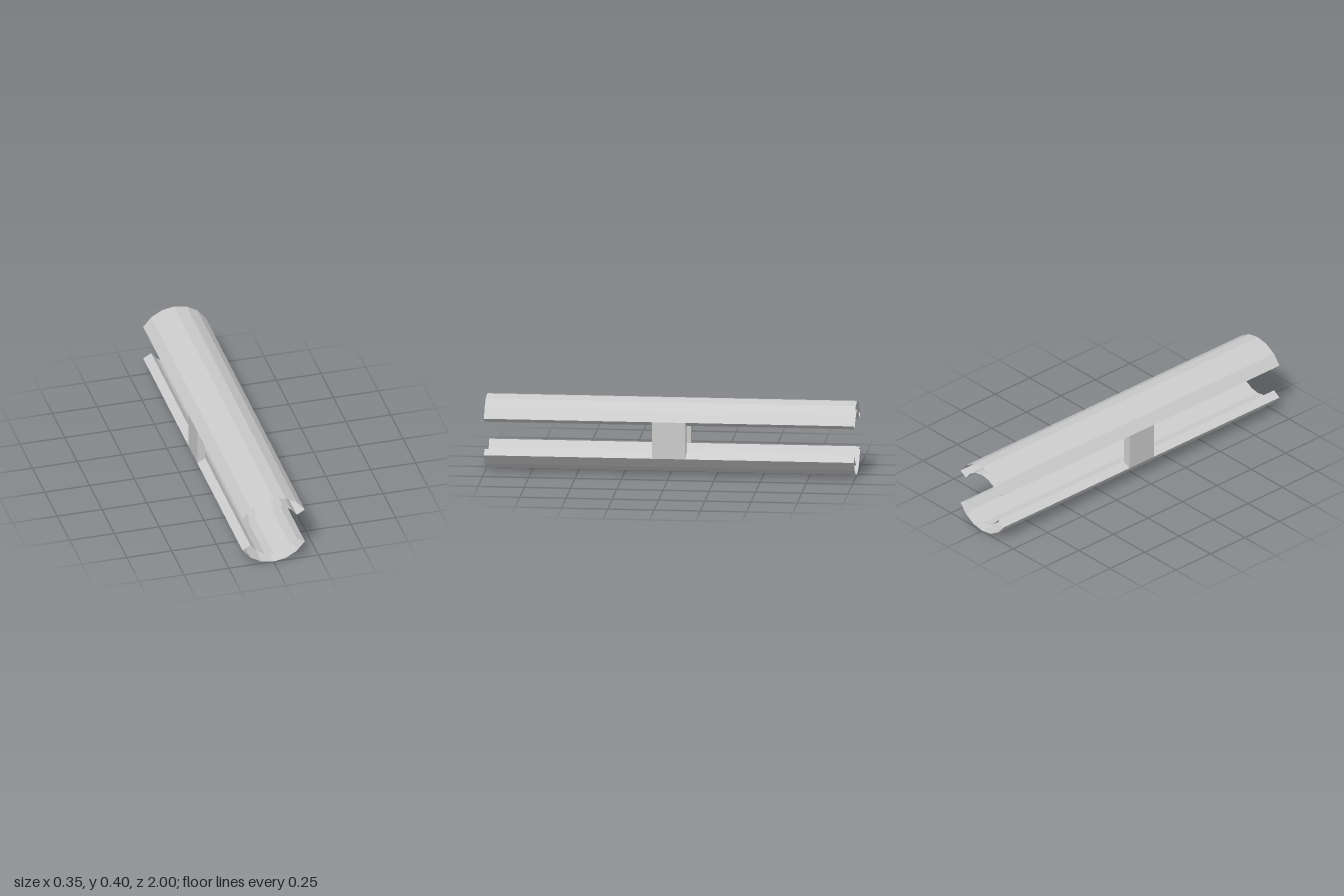
import * as THREE from 'three';

const OUTER = 0.201, INNER = 0.15, HALF_LENGTH = 1, HALF_BRIDGE = 0.09;
const EDGE = Math.PI / 6; // angle where the side slots begin, above and below horizontal
const SEGMENTS = 6;

const polar = (r, a) => new THREE.Vector2(r * Math.cos(a), r * Math.sin(a));

// Closed counter-clockwise outline of a ring sector
function sector(start, end, segments) {
  const points = [];
  const at = (i) => start + (end - start) * i / segments;
  for (let i = 0; i <= segments; i++) points.push(polar(OUTER, at(i)));
  for (let i = segments; i >= 0; i--) points.push(polar(INNER, at(i)));
  return points;
}

// Sweep the outline along z as walls only, leaving the ends open
function openSweep(points, halfLength) {
  const positions = [];
  points.forEach((p, i) => {
    const q = points[(i + 1) % points.length];
    const a = [p.x, p.y, halfLength], b = [p.x, p.y, -halfLength];
    const c = [q.x, q.y, -halfLength], d = [q.x, q.y, halfLength];
    positions.push(...a, ...b, ...c, ...a, ...c, ...d);
  });
  const geometry = new THREE.BufferGeometry();
  geometry.setAttribute('position', new THREE.Float32BufferAttribute(positions, 3));
  geometry.computeVertexNormals();
  return geometry;
}

export function createModel() {
  const group = new THREE.Group();
  group.name = 'slottedTube';
  const material = new THREE.MeshStandardMaterial({
    color: 0xcccccc, flatShading: true, side: THREE.DoubleSide,
  });
  const add = (name, geometry) => {
    const mesh = new THREE.Mesh(geometry, material);
    mesh.name = name;
    mesh.position.y = OUTER;
    group.add(mesh);
  };

  // Upper and lower half shells
  add('upperShell', openSweep(sector(EDGE, Math.PI - EDGE, SEGMENTS), HALF_LENGTH));
  add('lowerShell', openSweep(sector(Math.PI + EDGE, 2 * Math.PI - EDGE, SEGMENTS), HALF_LENGTH));

  // Short bridges joining the shells across the slots
  for (const [name, middle] of [['leftBridge', 0], ['rightBridge', Math.PI]]) {
    const shape = new THREE.Shape(sector(middle - EDGE, middle + EDGE, 1));
    const geometry = new THREE.ExtrudeGeometry(shape, { depth: 2 * HALF_BRIDGE, bevelEnabled: false });
    geometry.translate(0, 0, -HALF_BRIDGE);
    add(name, geometry);
  }
  return group;
}
